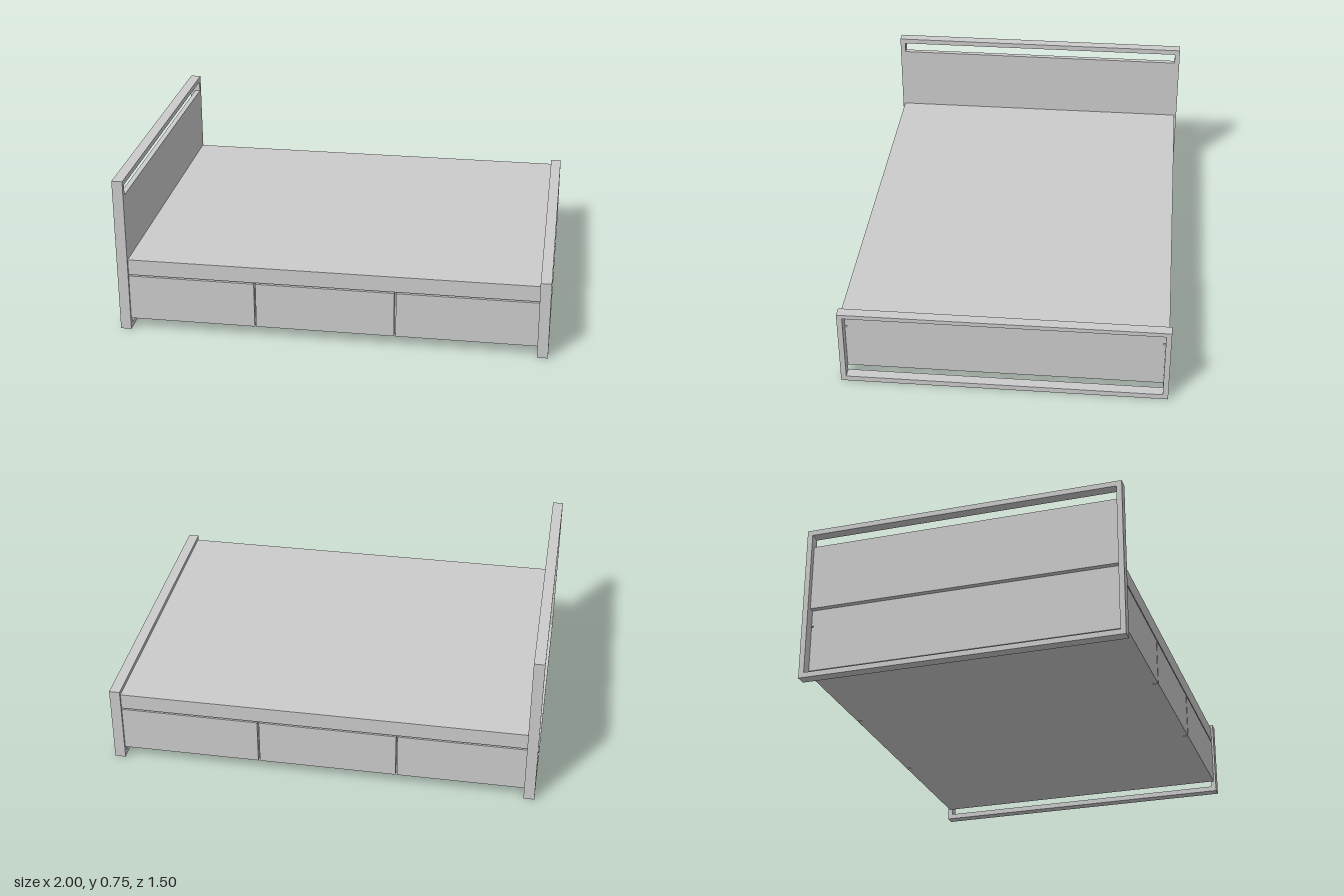
import * as THREE from 'three';

const material = new THREE.MeshStandardMaterial({ color: 0xcccccc });

// Box given by its minimum and maximum on each axis
function box(name, [x0, x1], [y0, y1], [z0, z1]) {
  const mesh = new THREE.Mesh(new THREE.BoxGeometry(x1 - x0, y1 - y0, z1 - z0), material);
  mesh.name = name;
  mesh.position.set((x0 + x1) / 2, (y0 + y1) / 2, (z0 + z1) / 2);
  return mesh;
}

// Open rectangular end frame, standing across the bed
function endFrame(name, x, height, topBar) {
  const half = 0.75, bar = 0.025, depth = 0.05;
  const shape = new THREE.Shape();
  shape.moveTo(-half, 0).lineTo(half, 0).lineTo(half, height).lineTo(-half, height).closePath();
  const hole = new THREE.Path();
  const inner = half - bar;
  hole.moveTo(-inner, bar).lineTo(-inner, height - topBar).lineTo(inner, height - topBar).lineTo(inner, bar).closePath();
  shape.holes.push(hole);
  const geometry = new THREE.ExtrudeGeometry(shape, { depth, bevelEnabled: false });
  geometry.rotateY(Math.PI / 2);
  const mesh = new THREE.Mesh(geometry, material);
  mesh.name = name;
  mesh.position.x = x;
  return mesh;
}

export function createModel() {
  const bed = new THREE.Group();
  bed.name = 'bed';

  const end = 0.95, side = 0.74, coreSide = 0.715;
  const bottom = 0.053, drawerTop = 0.272, platformBottom = 0.279, platformTop = 0.355;

  // End frames and the headboard panel
  bed.add(endFrame('headboardFrame', -1, 0.75, 0.025));
  bed.add(endFrame('footboardFrame', end, 0.375, 0.02));
  bed.add(box('headboardPanel', [-0.975, -end], [platformTop, 0.675], [-0.725, 0.725]));

  // Base core and the platform on top
  bed.add(box('baseCore', [-end, end], [bottom, platformBottom], [-coreSide, coreSide]));
  bed.add(box('platform', [-end, end], [platformBottom, platformTop], [-side, side]));

  // Three drawer fronts on each long side, separated by narrow gaps
  const drawers = [[-end, -0.358], [-0.351, 0.293], [0.301, end]];
  for (const [z0, z1] of [[coreSide, side], [-side, -coreSide]]) {
    for (const span of drawers) {
      bed.add(box('drawerFront', span, [bottom, drawerTop], [z0, z1]));
    }
  }
  return bed;
}
